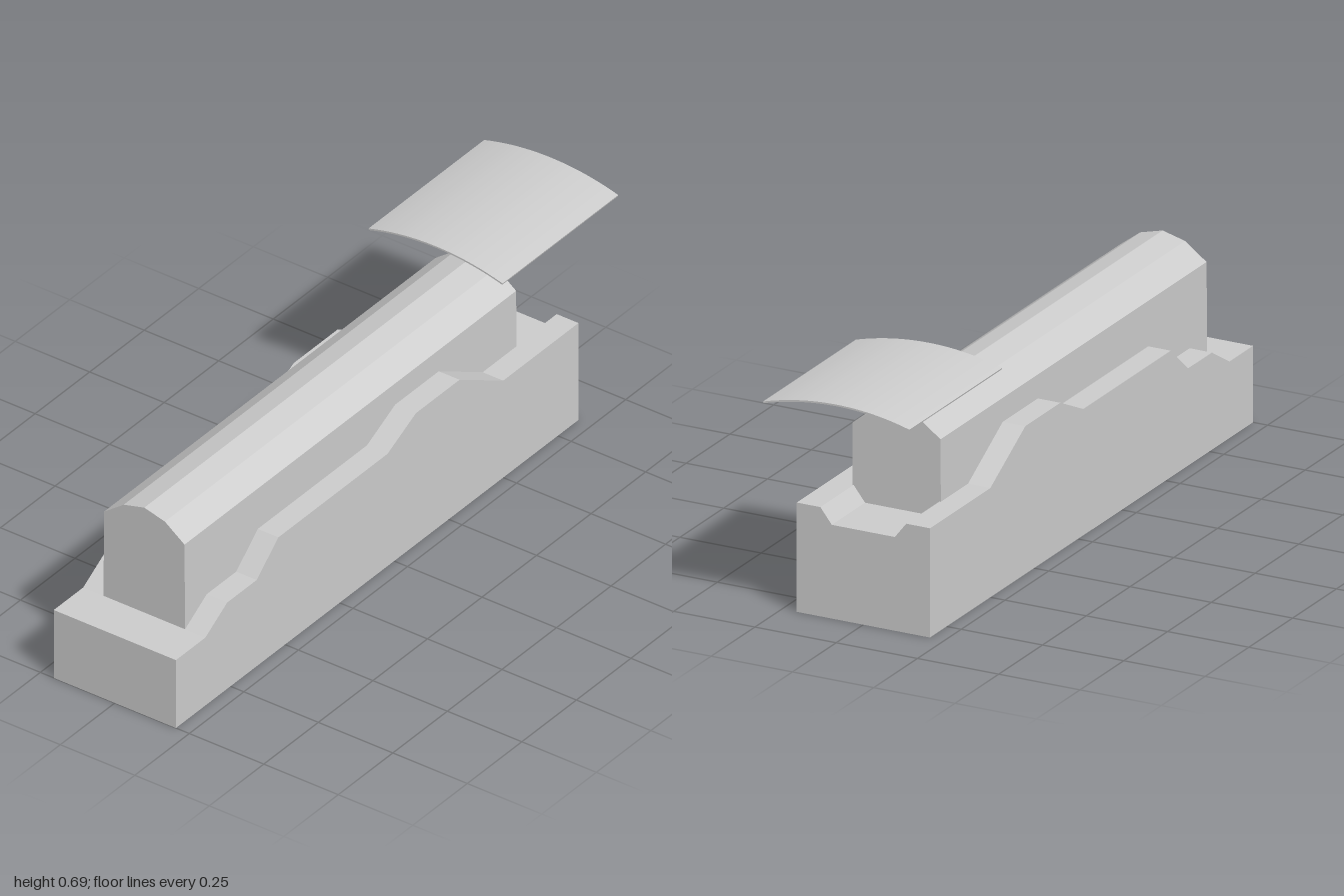
import * as THREE from 'three';

const material = new THREE.MeshStandardMaterial({ color: 0xcccccc, flatShading: true });
const smoothMaterial = new THREE.MeshStandardMaterial({ color: 0xcccccc });

// Extrude a cross-section (x, y) from zBack to zFront
function extrudeZ(shape, zBack, zFront, curveSegments = 12) {
  const geometry = new THREE.ExtrudeGeometry(shape, { depth: zFront - zBack, bevelEnabled: false, curveSegments });
  return geometry.translate(0, 0, zBack);
}

// Mirror the right half of a cross-section, listed from bottom to top centre
function mirroredShape(half) {
  const other = half.filter(([x]) => x !== 0).map(([x, y]) => [-x, y]).reverse();
  return new THREE.Shape([...half, ...other].map(([x, y]) => new THREE.Vector2(x, y)));
}

export function createModel() {
  const model = new THREE.Group();
  const add = (name, geometry, mat = material) => {
    const mesh = new THREE.Mesh(geometry, mat);
    mesh.name = name;
    model.add(mesh);
  };
  const halfWidth = 0.205;

  // Stepped lower body: side profile as (z, y), extruded across the width
  const profile = [
    [-0.65, 0], [1, 0], [1, 0.222], [0.865, 0.222], [0.765, 0.282], [0.63, 0.282],
    [0.53, 0.367], [0.03, 0.367], [-0.1, 0.429], [-0.3, 0.429], [-0.5, 0.317], [-0.65, 0.317],
  ];
  const side = new THREE.Shape(profile.map(([z, y]) => new THREE.Vector2(z, y)));
  const body = new THREE.ExtrudeGeometry(side, { depth: halfWidth * 2, bevelEnabled: false });
  body.rotateY(-Math.PI / 2).translate(halfWidth, 0, 0);
  add('steppedBody', body);

  // Rear deck with a sunken floor between two raised rims
  const deck = mirroredShape([[halfWidth, 0], [halfWidth, 0.317], [0.132, 0.317], [0.097, 0.272]]);
  add('rearDeck', extrudeZ(deck, -0.845, -0.65));

  // Long upper housing with a faceted top
  const housing = mirroredShape([[0.137, 0.2], [0.135, 0.498], [0.069, 0.547], [0, 0.565]]);
  add('upperHousing', extrudeZ(housing, -0.655, 0.865));

  // Thin curved canopy floating above the rear
  const radius = 0.807, top = 0.691, thickness = 0.005;
  const spread = Math.asin(0.225 / radius);
  const centreY = top - radius;
  const arc = new THREE.Shape();
  arc.absarc(0, centreY, radius, Math.PI / 2 - spread, Math.PI / 2 + spread, false);
  arc.absarc(0, centreY, radius - thickness, Math.PI / 2 + spread, Math.PI / 2 - spread, true);
  add('canopy', extrudeZ(arc, -1, -0.47, 16), smoothMaterial);

  return model;
}
